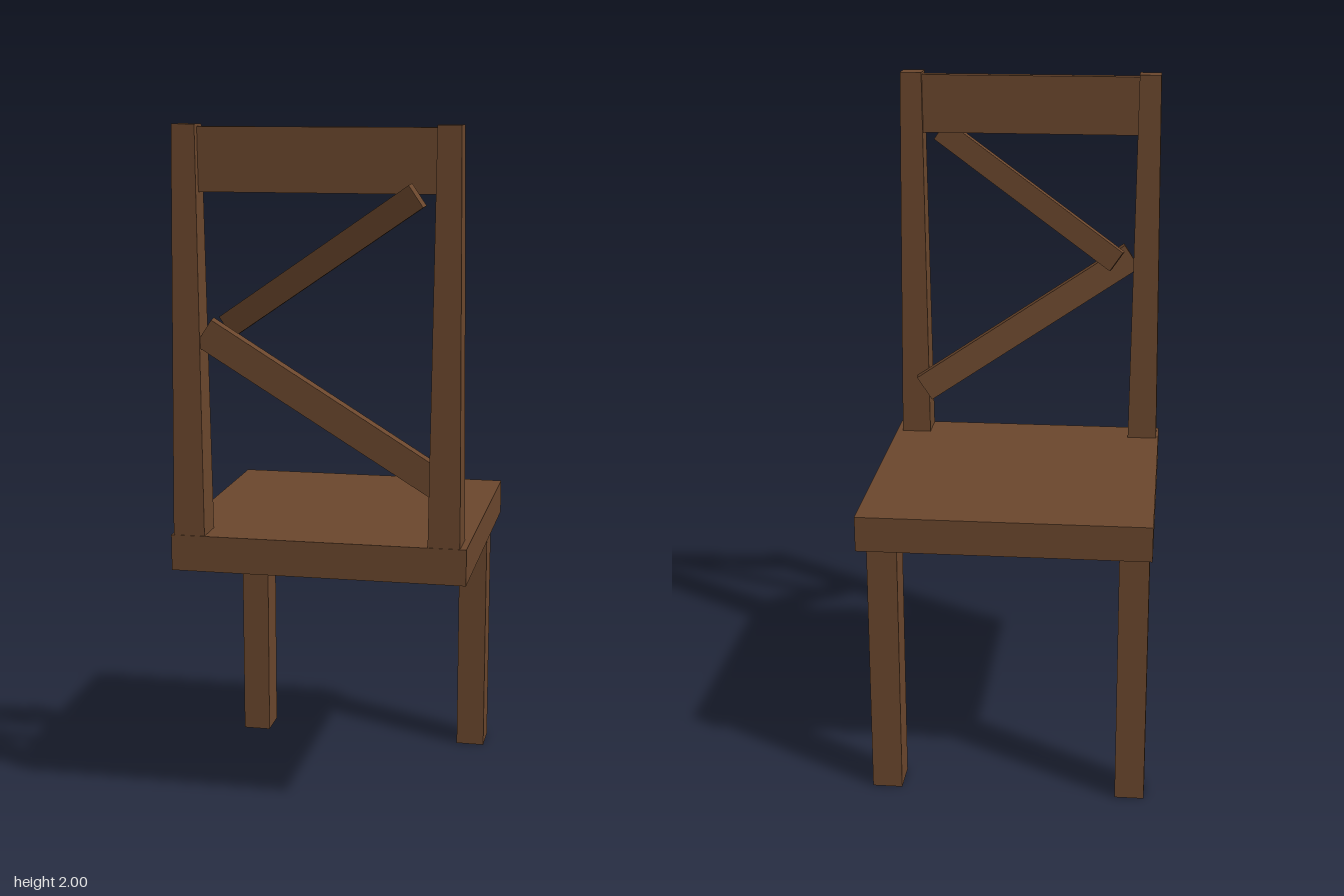
import * as THREE from 'three';

export function createModel() {
  const group = new THREE.Group();
  const wood = new THREE.MeshStandardMaterial({ color: 0x6b472d });
  wood.name = 'brown wood';

  const add = (name, geometry) => {
    const mesh = new THREE.Mesh(geometry, wood);
    mesh.name = name;
    group.add(mesh);
    return mesh;
  };

  // Box given by its limits on each axis
  const block = (name, [x0, x1], [y0, y1], [z0, z1]) =>
    add(name, new THREE.BoxGeometry(x1 - x0, y1 - y0, z1 - z0))
      .position.set((x0 + x1) / 2, (y0 + y1) / 2, (z0 + z1) / 2);

  // Upright that narrows towards the top
  const post = (name, x) => {
    const y0 = 0.85, y1 = 2;
    const geometry = new THREE.BoxGeometry(0.09, y1 - y0, 0.1);
    const p = geometry.attributes.position;
    for (let i = 0; i < p.count; i++) {
      if (p.getY(i) > 0) {
        p.setX(i, p.getX(i) * 0.72);
        p.setZ(i, p.getZ(i) * 0.7);
      }
    }
    geometry.computeVertexNormals();
    add(name, geometry).position.set(x, (y0 + y1) / 2, 0.376);
  };

  // Loose slat running between two end centres
  const slat = (name, start, end, width, depth) => {
    const a = new THREE.Vector3(...start), b = new THREE.Vector3(...end);
    const along = b.clone().sub(a).normalize();
    const across = new THREE.Vector3(0, 0, 1).cross(along).normalize();
    const out = along.clone().cross(across);
    const mesh = add(name, new THREE.BoxGeometry(a.distanceTo(b), width, depth));
    mesh.quaternion.setFromRotationMatrix(new THREE.Matrix4().makeBasis(along, across, out));
    mesh.position.copy(a).add(b).multiplyScalar(0.5);
  };

  block('seat', [-0.42, 0.42], [0.757, 0.86], [-0.435, 0.428]);

  // The two remaining legs
  block('rightLeg', [-0.412, -0.327], [0, 0.76], [-0.425, -0.32]);
  block('leftLeg', [0.303, 0.39], [0, 0.76], [-0.425, -0.32]);

  // Backrest
  post('rightPost', -0.368);
  post('leftPost', 0.357);
  block('topRail', [-0.345, 0.335], [1.818, 1.993], [0.352, 0.387]);
  slat('upperSlat', [-0.28, 1.44, 0.297], [0.275, 1.817, 0.418], 0.07, 0.032);
  slat('lowerSlat', [-0.322, 1.437, 0.393], [0.325, 1.014, 0.31], 0.085, 0.04);

  return group;
}
